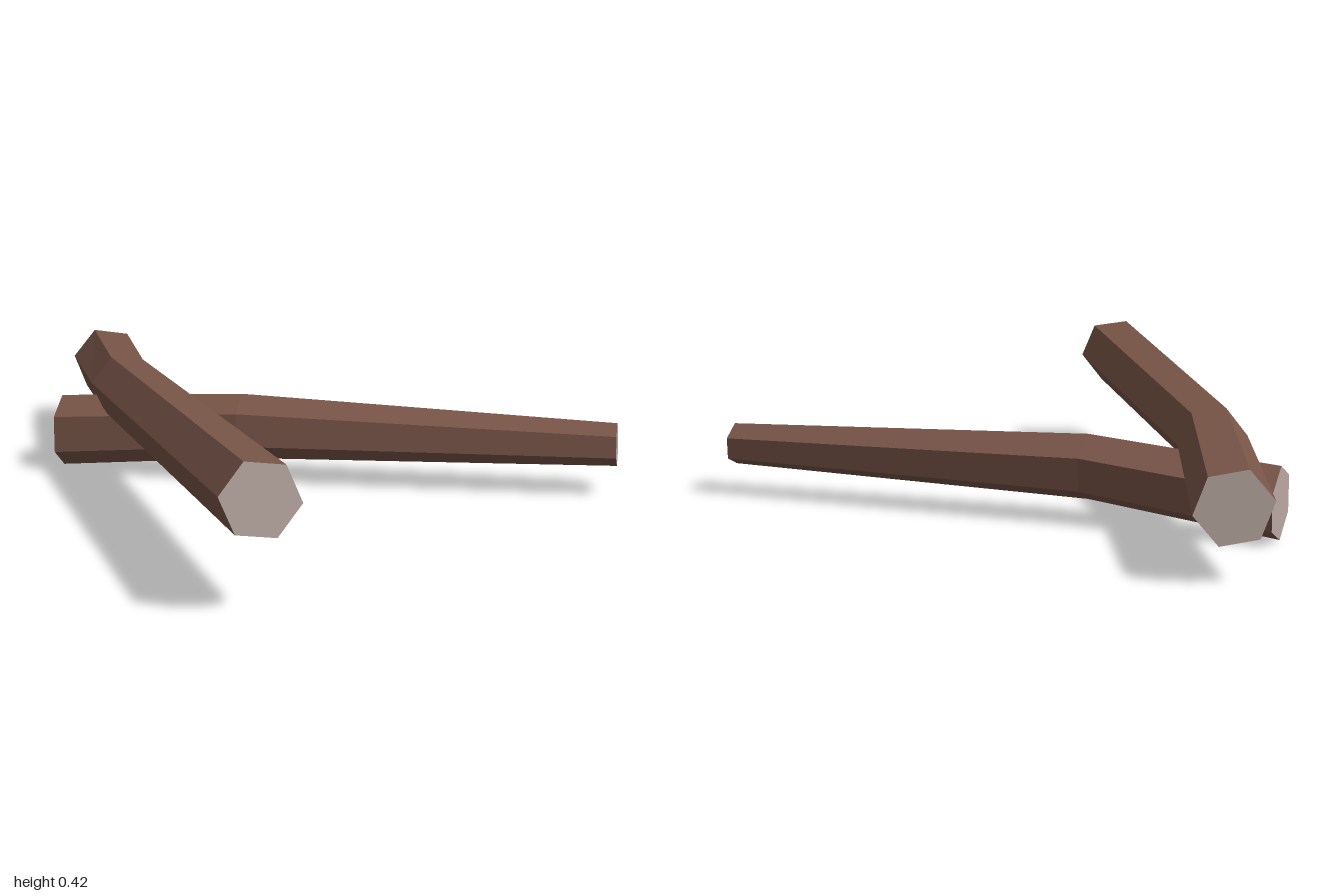
import * as THREE from 'three';

const SIDES = 6;

// Corner points of a hexagonal ring lying square to the given axis
function ring({ at, radius, phase }, axis) {
  const n = new THREE.Vector3(...axis).normalize();
  const u = new THREE.Vector3(0, 1, 0).cross(n).normalize();
  const v = n.clone().cross(u);
  return Array.from({ length: SIDES }, (_, i) => {
    const a = THREE.MathUtils.degToRad(phase + i * 360 / SIDES);
    return new THREE.Vector3(...at)
      .addScaledVector(u, radius * Math.cos(a))
      .addScaledVector(v, radius * Math.sin(a));
  });
}

function facets(triangles) {
  const geometry = new THREE.BufferGeometry().setFromPoints(triangles);
  geometry.computeVertexNormals();
  return geometry;
}

// A bent log: bark skinned between rings, and a cut face at each end
function makeLog(name, axis, sections, bark, cutWood) {
  const rings = sections.map((s) => ring(s, axis));
  const last = rings.length - 1;
  const skin = [], backCut = [], frontCut = [];
  for (let i = 0; i < SIDES; i++) {
    const j = (i + 1) % SIDES;
    for (let k = 0; k < last; k++) {
      const [a, b, c, d] = [rings[k][i], rings[k][j], rings[k + 1][j], rings[k + 1][i]];
      skin.push(a, b, c, a, c, d);
    }
    backCut.push(new THREE.Vector3(...sections[0].at), rings[0][j], rings[0][i]);
    frontCut.push(new THREE.Vector3(...sections[last].at), rings[last][i], rings[last][j]);
  }
  const log = new THREE.Group();
  log.name = name;
  for (const [part, points, material] of [
    ['bark', skin, bark], ['startCut', backCut, cutWood], ['endCut', frontCut, cutWood],
  ]) {
    const mesh = new THREE.Mesh(facets(points), material);
    mesh.name = part;
    log.add(mesh);
  }
  return log;
}

export function createModel() {
  const bark = new THREE.MeshStandardMaterial({ color: 0x795548 });
  bark.name = 'bark brown';
  const cutWood = new THREE.MeshStandardMaterial({ color: 0xbcaaa4 });
  cutWood.name = 'pale cut wood';

  const model = new THREE.Group();
  model.name = 'fallenLogs';

  // Thick log running back to front, resting on the other
  model.add(makeLog('upperLog', [-0.06, 0.055, 1], [
    { at: [-0.535, 0.212, -0.992], radius: 0.11, phase: 50 },
    { at: [-0.59, 0.274, -0.4], radius: 0.1, phase: 52 },
    { at: [-0.509, 0.32, 0.992], radius: 0.11, phase: 52 },
  ], bark, cutWood));

  // Tapering log lying across underneath
  model.add(makeLog('lowerLog', [0.89, 0.025, 0.44], [
    { at: [-0.764, 0.114, -0.52], radius: 0.11, phase: 24 },
    { at: [-0.258, 0.166, -0.22], radius: 0.1, phase: 24 },
    { at: [0.777, 0.157, 0.268], radius: 0.065, phase: 24 },
  ], bark, cutWood));

  return model;
}
